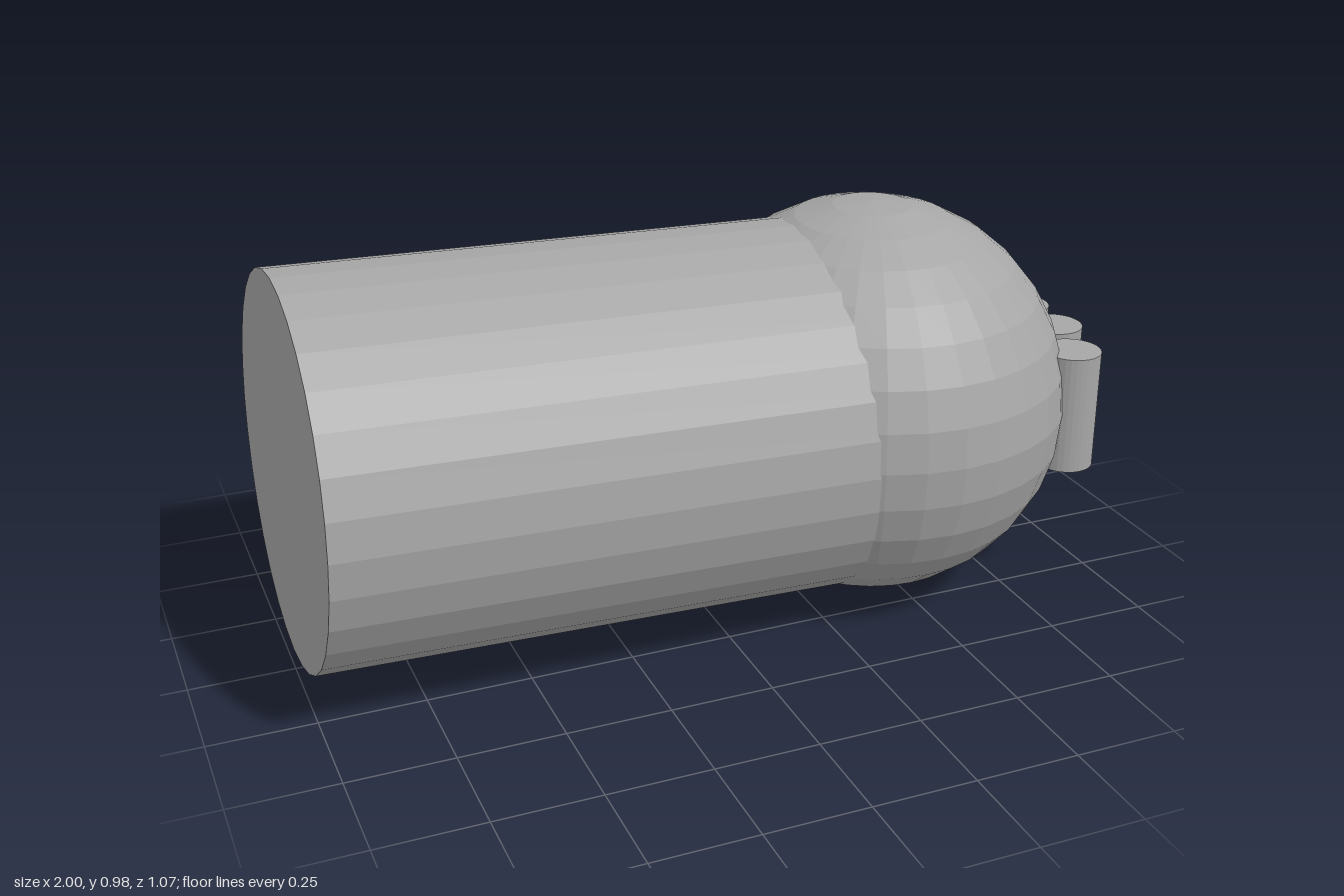
import * as THREE from 'three';

export function createModel() {
  const model = new THREE.Group();
  model.name = 'fistAndForearm';
  const grey = new THREE.MeshStandardMaterial({ color: 0xa6a6a6, flatShading: true });
  grey.name = 'plain grey';

  const add = (name, geometry, x, y, z) => {
    const mesh = new THREE.Mesh(geometry, grey);
    mesh.name = name;
    mesh.position.set(x, y, z);
    model.add(mesh);
    return mesh;
  };

  // Rounded fist, slightly deeper than tall
  add('fist', new THREE.SphereGeometry(1, 32, 16).scale(0.485, 0.49, 0.508), 0.46, 0.495, 0.026);

  // Forearm: oval cylinder sloping gently down to the fist
  const arm = new THREE.CylinderGeometry(1, 1, 1.44, 32).scale(0.455, 1, 0.48).rotateZ(Math.PI / 2);
  add('forearm', arm, -0.27, 0.5, 0.01).rotation.z = -0.027;

  // Four upright fingers across the knuckle side
  const finger = new THREE.CylinderGeometry(0.073, 0.073, 0.295, 32).scale(0.96, 1, 1);
  [[0.875, 0.302], [0.928, 0.136], [0.93, -0.022], [0.93, -0.166]].forEach(([x, z], i) => {
    add('finger' + (i + 1), finger, x, 0.492, z);
  });

  // Thumb lying along the back of the fist
  const thumb = new THREE.CylinderGeometry(0.087, 0.087, 0.295, 32).rotateZ(Math.PI / 2);
  add('thumb', thumb, 0.497, 0.49, -0.445).rotation.z = -0.13;

  return model;
}
